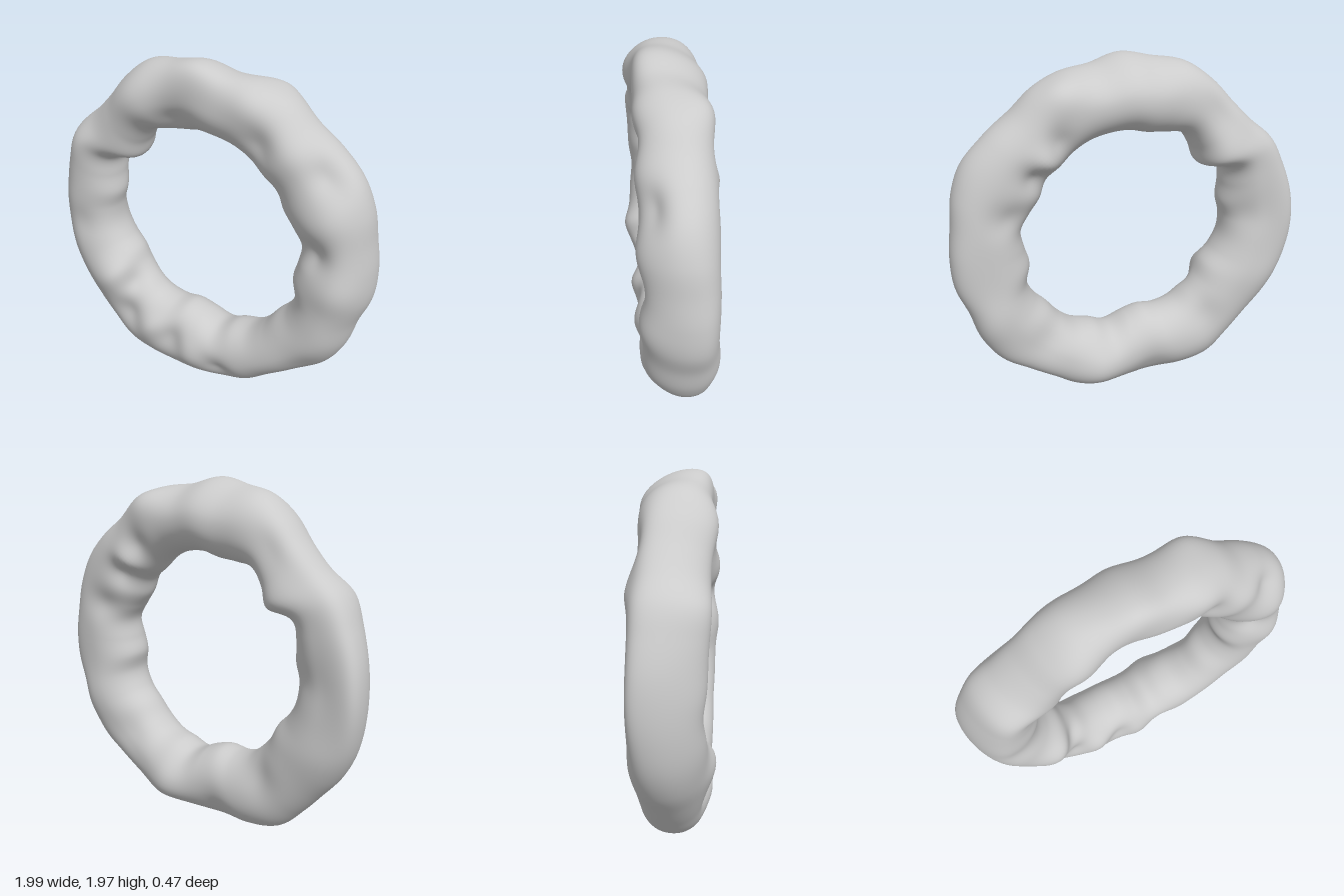
import * as THREE from 'three';

const RAD = Math.PI / 180;
const HALF_DEPTH = 0.19;

// Contour radii every 10 degrees, counter-clockwise from +x
const outer = [0.995, 0.99, 1.012, 1.02, 0.995, 0.97, 0.99, 0.985, 0.965, 0.995, 0.983, 0.998,
  0.97, 0.935, 0.935, 0.975, 0.98, 0.99, 0.995, 1.0, 1.005, 1.0, 0.99, 1.005,
  1.035, 1.01, 0.98, 0.97, 0.97, 0.985, 0.963, 0.973, 1.01, 1.007, 0.983, 1.0];
const inner = [0.59, 0.612, 0.585, 0.566, 0.59, 0.582, 0.597, 0.606, 0.605, 0.6, 0.585, 0.605,
  0.636, 0.6, 0.56, 0.655, 0.625, 0.585, 0.6, 0.603, 0.583, 0.555, 0.57, 0.58,
  0.59, 0.575, 0.54, 0.56, 0.613, 0.607, 0.63, 0.625, 0.614, 0.63, 0.625, 0.575];
// Sideways drift of the outer rim
const rimShift = [-0.05, 0, 0, 0.07, -0.03, -0.06, -0.1, -0.03, 0, 0.02, -0.05, -0.04];

// Dents and swellings: [angle round ring, angle round tube, height, spread] in degrees
const lumps = [
  [36, 48, -0.045, 7], [9, 112, -0.045, 7], [22, 80, 0.025, 8], [48, 70, 0.02, 8],
  [59, 100, -0.035, 7], [68, 60, 0.02, 7], [101, 125, -0.05, 10], [114, 80, 0.035, 10],
  [150, 70, 0.015, 10], [187, 95, -0.02, 8], [216, 110, 0.05, 8], [225, 140, -0.025, 6],
  [235, 92, -0.045, 7], [246, 100, 0.025, 6], [258, 95, -0.03, 6], [268, 80, 0.02, 6],
  [281, 70, -0.03, 6], [318, 55, -0.02, 7], [354, 70, 0.025, 8],
  [18, -110, -0.03, 7], [38, -120, -0.035, 6], [47, -110, 0.03, 6], [56, -105, -0.03, 6],
  [66, -50, 0.035, 7], [92, -100, 0.02, 9], [125, -70, -0.025, 9], [141, -105, 0.04, 9],
  [175, -120, -0.025, 10], [205, -70, 0.015, 10], [232, -110, -0.025, 8], [262, -60, -0.025, 8],
  [285, -80, 0.045, 9], [312, -110, -0.025, 9], [335, -70, 0.02, 9],
];

// Smooth periodic interpolation through a table
function sample(table, t) {
  const n = table.length, f = t * n, i = Math.floor(f), u = f - i;
  const [a, b, c, d] = [-1, 0, 1, 2].map((k) => table[(i + k + n) % n]);
  return b + 0.5 * u * (c - a + u * (2 * a - 5 * b + 4 * c - d + u * (3 * (b - c) + d - a)));
}

const wrap = (deg) => ((deg + 540) % 360) - 180;

function lumpHeight(theta, phi) {
  let h = 0;
  for (const [t, p, amount, spread] of lumps) {
    const dt = wrap(theta - t) / spread;
    const dp = wrap(phi - p) / (spread * 4);
    h += amount * Math.exp(-dt * dt - dp * dp);
  }
  return h;
}

// Surface point for fractions u round the ring and v round the tube
function surfacePoint(u, v) {
  const theta = u * 360, phi = v * 360;
  const c = Math.cos(phi * RAD), s = Math.sin(phi * RAD);
  const ro = sample(outer, u), ri = sample(inner, u);
  const lump = lumpHeight(theta, phi);
  // slightly squared-off round section
  const soft = (k) => Math.sign(k) * Math.abs(k) ** 0.95;
  const r = (ro + ri) / 2 + soft(c) * (ro - ri) / 2 + lump * c;
  const z = soft(s) * HALF_DEPTH + lump * s + sample(rimShift, u) * Math.max(0, c) ** 2;
  return [r * Math.cos(theta * RAD), 0.985 + r * Math.sin(theta * RAD), z];
}

export function createModel() {
  const ringSteps = 288, tubeSteps = 64;
  const positions = [], indices = [];
  for (let i = 0; i < ringSteps; i++) {
    for (let j = 0; j < tubeSteps; j++) {
      positions.push(...surfacePoint(i / ringSteps, j / tubeSteps));
      const i2 = (i + 1) % ringSteps, j2 = (j + 1) % tubeSteps;
      const a = i * tubeSteps + j, b = i2 * tubeSteps + j;
      const c = i2 * tubeSteps + j2, d = i * tubeSteps + j2;
      indices.push(a, b, c, a, c, d);
    }
  }
  const geometry = new THREE.BufferGeometry();
  geometry.setAttribute('position', new THREE.Float32BufferAttribute(positions, 3));
  geometry.setIndex(indices);
  geometry.computeVertexNormals();

  const ring = new THREE.Mesh(geometry, new THREE.MeshStandardMaterial({ color: 0xcccccc }));
  ring.name = 'lumpyRing';

  const model = new THREE.Group();
  model.name = 'ring';
  model.add(ring);
  return model;
}
